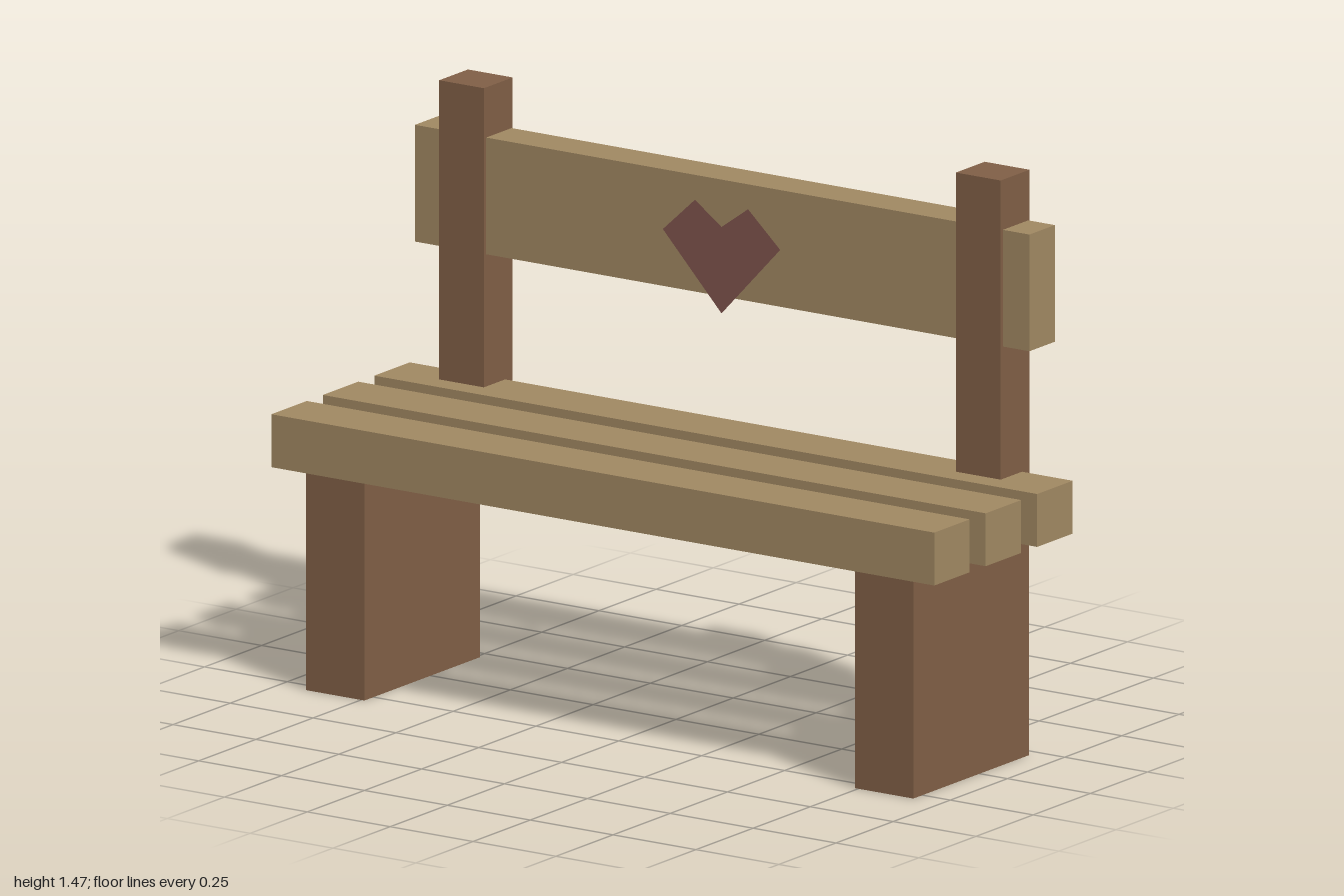
import * as THREE from 'three';

export function createModel() {
  const bench = new THREE.Group();
  bench.name = 'bench';

  const mat = (name, color, extra = {}) => {
    const m = new THREE.MeshStandardMaterial({ color, ...extra });
    m.name = name;
    return m;
  };
  const lightWood = mat('lightWood', 0xa08862);
  const darkWood = mat('darkWood', 0x805f46);
  const heartRed = mat('heartRed', 0x7f534d, { side: THREE.DoubleSide });

  // Box given by its extents on each axis
  const box = (name, material, [x0, x1], [y0, y1], [z0, z1]) => {
    const mesh = new THREE.Mesh(new THREE.BoxGeometry(x1 - x0, y1 - y0, z1 - z0), material);
    mesh.position.set((x0 + x1) / 2, (y0 + y1) / 2, (z0 + z1) / 2);
    mesh.name = name;
    bench.add(mesh);
  };

  // Seat slats, back to front
  ['backSlat', 'middleSlat', 'frontSlat'].forEach((name, i) => {
    const z = -0.285 + i * 0.225;
    box(name, lightWood, [-1, 1], [0.567, 0.703], [z, z + 0.155]);
  });

  // Block legs and back posts on both sides
  for (const [side, s] of [['left', 1], ['right', -1]]) {
    const span = (a, b) => (s > 0 ? [a, b] : [-b, -a]);
    box(side + 'Leg', darkWood, span(0.74, 0.916), [0, 0.567], [-0.215, 0.29]);
    box(side + 'BackPost', darkWood, span(0.712, 0.847), [0.6, 1.472], [-0.318, -0.192]);
  }

  // Backrest board, running through the posts
  box('backrestBoard', lightWood, [-0.927, 0.927], [1.043, 1.343], [-0.313, -0.202]);

  // Flat heart on the front of the board, its tip hanging below the edge
  const heart = new THREE.Shape([
    [0, 1.0], [0.177, 1.19], [0.08, 1.28], [0, 1.222], [-0.08, 1.28], [-0.177, 1.19],
  ].map(([x, y]) => new THREE.Vector2(x, y)));
  const heartMesh = new THREE.Mesh(new THREE.ShapeGeometry(heart), heartRed);
  heartMesh.position.z = -0.199;
  heartMesh.name = 'heart';
  bench.add(heartMesh);

  return bench;
}
